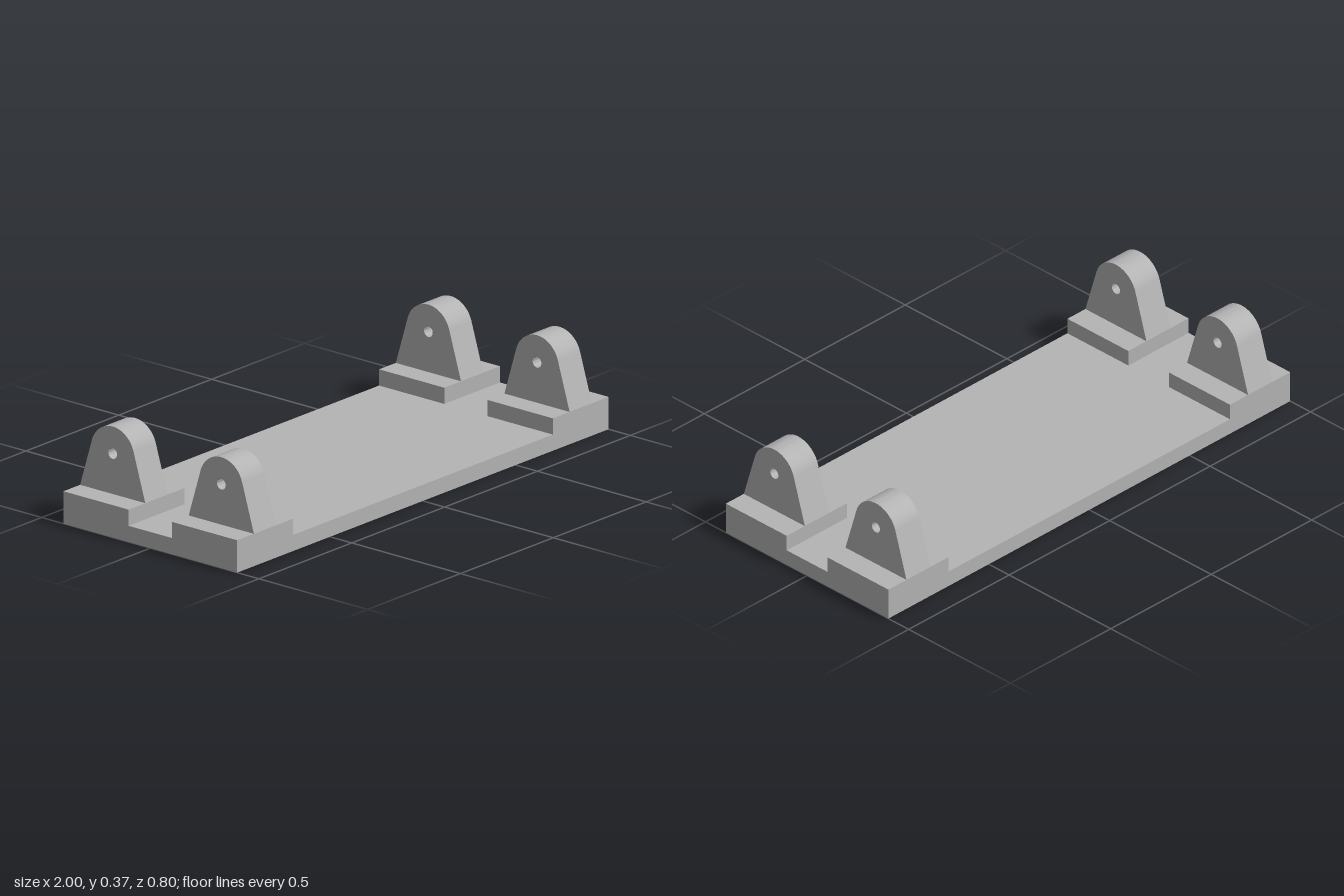
import * as THREE from 'three';
import { toCreasedNormals } from 'three/addons/utils/BufferGeometryUtils.js';

const PLATE_H = 0.06, PAD_H = 0.06, LUG_W = 0.12;
const HALF_BASE = 0.15, EYE_RISE = 0.15, EYE_R = 0.1, HOLE_R = 0.02;

// Tapered lug: straight sides running tangent into a round top, with a pin hole
function lugGeometry() {
  const tangent = Math.acos(EYE_R / Math.hypot(HALF_BASE, EYE_RISE)) - Math.atan2(EYE_RISE, HALF_BASE);
  const shape = new THREE.Shape();
  shape.moveTo(-HALF_BASE, 0);
  shape.lineTo(HALF_BASE, 0);
  shape.absarc(0, EYE_RISE, EYE_R, tangent, Math.PI - tangent, false);
  shape.closePath();
  const hole = new THREE.Path();
  hole.absarc(0, EYE_RISE, HOLE_R, 0, Math.PI * 2, true);
  shape.holes.push(hole);
  const geo = new THREE.ExtrudeGeometry(shape, { depth: LUG_W, bevelEnabled: false, curveSegments: 32 });
  geo.translate(0, 0, -LUG_W / 2).rotateY(Math.PI / 2);
  return toCreasedNormals(geo, Math.PI / 6);
}

export function createModel() {
  const model = new THREE.Group();
  model.name = 'mountingBase';
  const grey = new THREE.MeshStandardMaterial({ color: 0xb4b4b4 });
  grey.name = 'grey';

  const add = (parent, name, geo, x, y, z) => {
    const mesh = new THREE.Mesh(geo, grey);
    mesh.name = name;
    mesh.position.set(x, y, z);
    parent.add(mesh);
  };

  // Base plate
  add(model, 'basePlate', new THREE.BoxGeometry(2, PLATE_H, 0.8), 0, PLATE_H / 2, 0);

  // Four corner brackets: a raised pad carrying a lug
  const padGeo = new THREE.BoxGeometry(0.3, PAD_H, 0.3);
  const lugGeo = lugGeometry();
  for (const sx of [-1, 1]) {
    for (const sz of [-1, 1]) {
      const bracket = new THREE.Group();
      bracket.name = (sz > 0 ? 'front' : 'back') + (sx > 0 ? 'Left' : 'Right') + 'Bracket';
      bracket.position.set(sx * 0.85, PLATE_H, sz * 0.25);
      add(bracket, 'pad', padGeo, 0, PAD_H / 2, 0);
      add(bracket, 'lug', lugGeo, 0, PAD_H, 0);
      model.add(bracket);
    }
  }
  return model;
}
